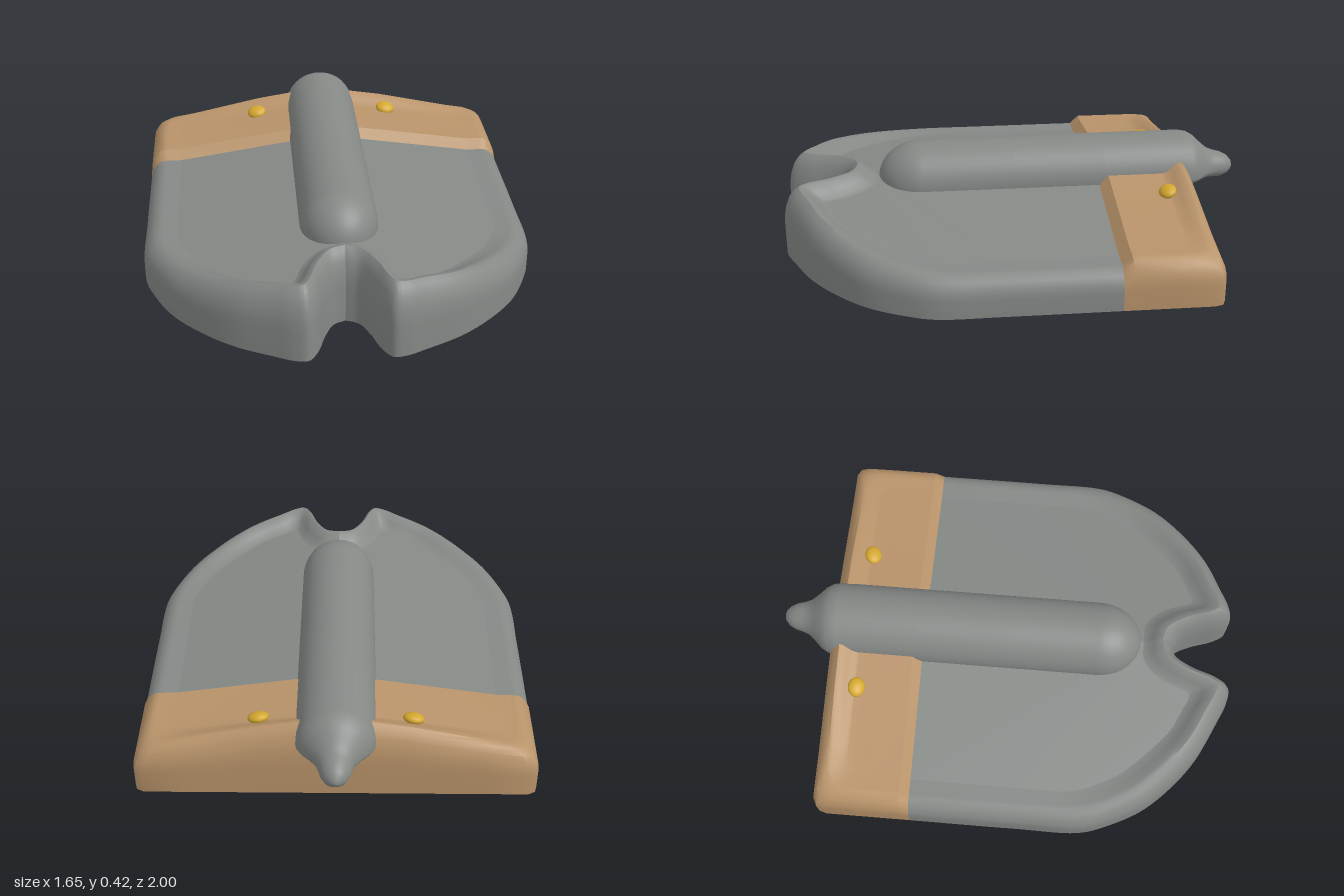
import * as THREE from 'three';
import { toCreasedNormals } from 'three/addons/utils/BufferGeometryUtils.js';

const clamp = THREE.MathUtils.clamp;
const mix = THREE.MathUtils.lerp;

// Plan curves as [x, z] pairs for one half, from the centre line outwards
const hullOuter = [[0, .74], [.05, .765], [.09, .84], [.125, .94], [.165, .995], [.22, .99], [.3, .955], [.45, .88],
  [.58, .78], [.7, .65], [.78, .5], [.82, .38], [.825, .1], [.825, -.37]];
const hullLip = [[0, .68], [.06, .70], [.12, .79], [.155, .89], [.18, .925], [.22, .92], [.29, .885], [.42, .82],
  [.54, .725], [.65, .6], [.715, .48], [.75, .36], [.76, .1], [.76, -.37]];
const hullFloor = [[0, .6], [.09, .61], [.17, .7], [.2, .78], [.215, .81], [.24, .81], [.28, .79], [.38, .74],
  [.48, .65], [.58, .54], [.64, .43], [.675, .33], [.68, .1], [.68, -.37]];
const sternOuter = [[.825, -.37], [.825, -.41], [.825, -.6], [.825, -.74], [.815, -.775], [.785, -.79], [.6, -.79], [.3, -.79], [0, -.79]];
const sternLip = [[.76, -.37], [.76, -.41], [.76, -.6], [.755, -.68], [.735, -.715], [.69, -.73], [.58, -.73], [.3, -.73], [0, -.73]];
const sternFloor = [[.68, -.37], [.68, -.41], [.68, -.56], [.675, -.62], [.66, -.64], [.63, -.65], [.54, -.65], [.3, -.65], [0, -.65]];

// Heights across the width
const hullRimHeight = x => .325 - .06 * x - .19 * x * x;
const hullFloorHeight = x => .275 - .155 * x;
const sternStep = z => .04 * clamp((-.37 - z) / .04, 0, 1) - .04;
const sternRimHeight = (x, z) => Math.min(.357, .375 - .22 * x) + sternStep(z);
const sternFloorHeight = (x, z) => .315 - .155 * x + sternStep(z);

function smooth(points) {
  const curve = new THREE.CatmullRomCurve3(points.map(([x, z]) => new THREE.Vector3(x, 0, z)));
  return curve.getPoints(78).map(p => [Math.max(0, p.x), p.z]);
}

// Joins rings of [x, y, z] points into one surface
function loft(rings) {
  const n = rings[0].length, index = [];
  for (let r = 0; r < rings.length - 1; r++) {
    for (let i = 0; i < n - 1; i++) {
      const a = r * n + i, c = a + n;
      index.push(a, a + 1, c, a + 1, c + 1, c);
    }
  }
  const geo = new THREE.BufferGeometry();
  geo.setAttribute('position', new THREE.Float32BufferAttribute(rings.flat(2), 3));
  geo.setIndex(index);
  return toCreasedNormals(geo, .7);
}

// Wall, rounded shoulder, lip and inner slope
function rimRings(outer, lip, floor, rimHeight, floorHeight) {
  const shoulder = [[0, 0], [0, .45], [.04, .58], [.13, .7], [.36, .85], [.68, .95], [1, 1]];
  const rings = shoulder.map(([t, k]) => outer.map(([x, z], i) => {
    const [lx, lz] = lip[i];
    return [mix(x, lx, t), k * rimHeight(lx, lz), mix(z, lz, t)];
  }));
  for (const [t, k] of [[.2, .08], [.5, .5], [.8, .9], [1, 1]]) {
    rings.push(lip.map(([x, z], i) => {
      const [fx, fz] = floor[i];
      return [mix(x, fx, t), mix(rimHeight(x, z), floorHeight(fx, fz), k), mix(z, fz, t)];
    }));
  }
  return rings;
}

// Flat fill of a plan outline, facing up or down, with a height rule
function fill(outline, up, height) {
  const s = up ? -1 : 1;
  const geo = new THREE.ShapeGeometry(new THREE.Shape(outline.map(([x, z]) => new THREE.Vector2(x, s * z))));
  geo.rotateX(s * Math.PI / 2);
  const p = geo.attributes.position;
  for (let i = 0; i < p.count; i++) p.setY(i, height(p.getX(i)));
  geo.computeVertexNormals();
  return geo;
}

export function createModel() {
  const model = new THREE.Group();
  const material = (name, color) => {
    const m = new THREE.MeshStandardMaterial({ color });
    m.name = name;
    return m;
  };
  const grey = material('grey', 0x858986);
  const tan = material('tan', 0xb8936a);
  const gold = material('gold', 0xd4a82f);

  const add = (name, geo, mat) => {
    const mesh = new THREE.Mesh(geo, mat);
    mesh.name = name;
    model.add(mesh);
    return mesh;
  };
  const addPair = (name, geo, mat) => {
    add(name + 'Left', geo, mat);
    add(name + 'Right', geo, mat).scale.x = -1;
  };

  // Grey hull with the notched, raised front rim
  const [outer, lip, floor] = [hullOuter, hullLip, hullFloor].map(smooth);
  addPair('hullRim', loft(rimRings(outer, lip, floor, hullRimHeight, hullFloorHeight)), grey);
  addPair('hullFloor', fill([...floor, [0, -.37]], true, hullFloorHeight), grey);
  addPair('hullBottom', fill([...outer, [0, -.37]], false, () => 0), grey);

  // Tan stern, one step higher than the hull floor
  const sternRings = rimRings(sternOuter, sternLip, sternFloor, sternRimHeight, sternFloorHeight);
  sternRings.push(sternFloor.map(([, z]) => [0, sternFloorHeight(0, z), z]));
  addPair('stern', loft(sternRings), tan);
  addPair('sternBottom', fill([...sternOuter, [0, -.37]], false, () => 0), tan);

  // Long rounded spine with a tapered tail knob, flatter underneath
  const profile = [new THREE.Vector2(0, -1)];
  for (const [r, z] of [[.022, -.995], [.045, -.975], [.06, -.945], [.068, -.915], [.08, -.885], [.105, -.855],
    [.14, -.82], [.158, -.79], [.165, -.75], [.165, -.4], [.165, 0], [.165, .4]]) profile.push(new THREE.Vector2(r, z));
  for (let i = 1; i <= 10; i++) {
    const a = i / 10 * Math.PI / 2;
    profile.push(new THREE.Vector2(.165 * Math.cos(a), .4 + .19 * Math.sin(a)));
  }
  const spine = new THREE.LatheGeometry(profile, 40);
  spine.rotateX(Math.PI / 2);
  const p = spine.attributes.position;
  for (let i = 0; i < p.count; i++) {
    const y = p.getY(i);
    const flat = mix(.36, .85, clamp((-.84 - p.getZ(i)) / .1, 0, 1));
    p.setY(i, .252 + (y < 0 ? y * flat : y));
  }
  spine.computeVertexNormals();
  add('spine', spine, grey);

  // Gold studs
  for (const side of [1, -1]) {
    const stud = add(side > 0 ? 'studLeft' : 'studRight', new THREE.SphereGeometry(1, 20, 14), gold);
    stud.scale.set(.044, .023, .038);
    stud.position.set(side * .315, .277, -.64);
    stud.rotation.set(.35, 0, -side * .15);
  }
  return model;
}
